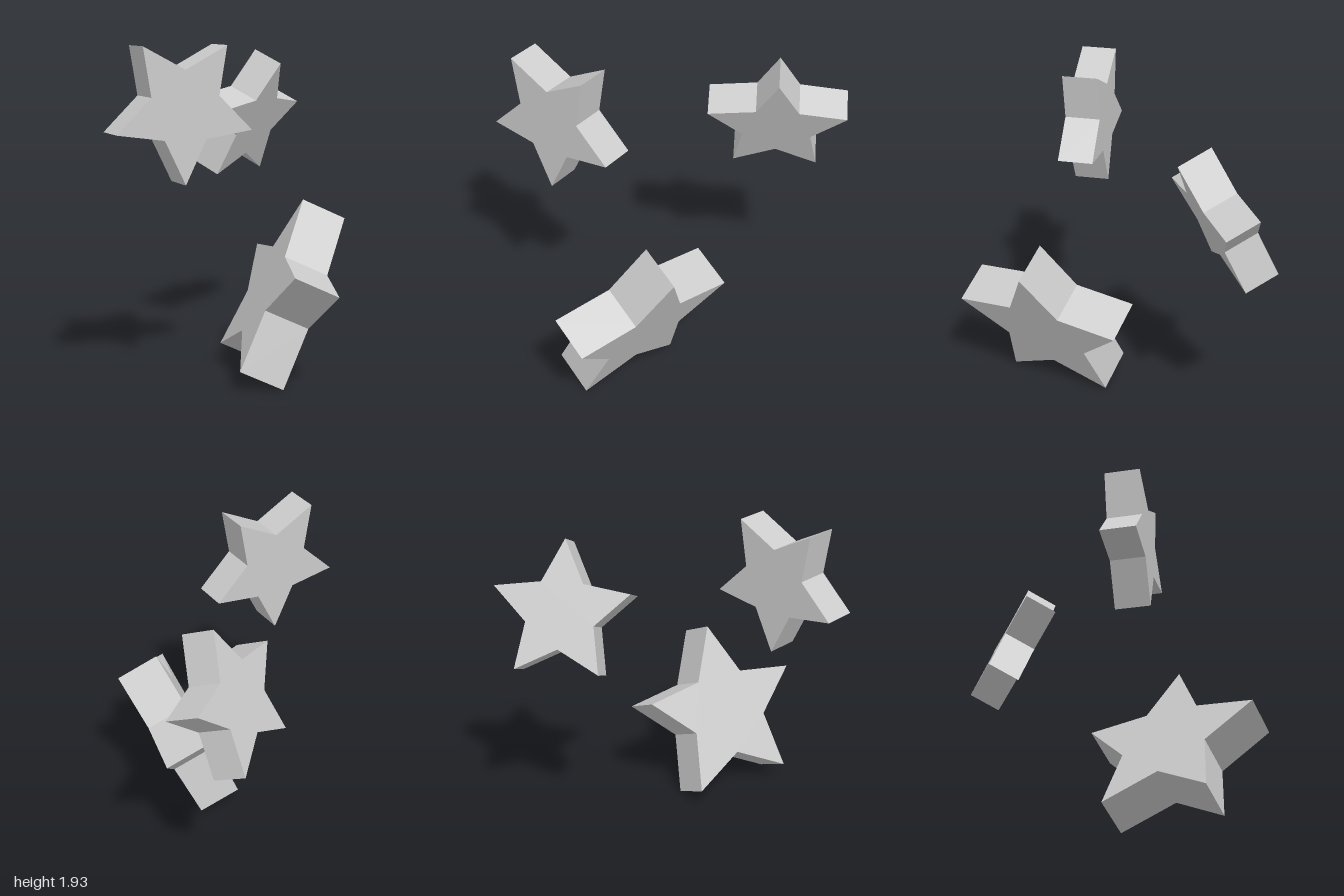
import * as THREE from 'three';

// Five-pointed star prism, one tip up, centred on its own origin
function makeStar(name, radius, depth, position, [pitch, yaw, roll]) {
  const shape = new THREE.Shape();
  for (let i = 0; i < 10; i++) {
    const r = i % 2 ? radius / 2 : radius;
    const a = Math.PI / 2 + i * Math.PI / 5;
    const x = r * Math.cos(a), y = r * Math.sin(a);
    if (i === 0) shape.moveTo(x, y);
    else shape.lineTo(x, y);
  }
  shape.closePath();
  const geometry = new THREE.ExtrudeGeometry(shape, { depth, bevelEnabled: false });
  geometry.translate(0, 0, -depth / 2);

  const star = new THREE.Mesh(
    geometry,
    new THREE.MeshStandardMaterial({ color: 0xcccccc, flatShading: true })
  );
  star.name = name;
  star.position.set(...position);
  const rad = THREE.MathUtils.degToRad;
  star.rotation.set(rad(pitch), rad(yaw), rad(roll), 'YXZ');
  return star;
}

export function createModel() {
  const group = new THREE.Group();
  group.name = 'stars';
  group.add(
    // Large star turned sideways and leaning
    makeStar('largeStar', 0.561, 0.275, [0.337, 0.472, 0.466], [25, 90, 0]),
    // Small star pointing down
    makeStar('upperRightStar', 0.43, 0.212, [-0.283, 1.585, 0.51], [0, 15, 180]),
    // Small star at the back, tipped forward
    makeStar('upperLeftStar', 0.43, 0.212, [0.315, 1.43, -0.646], [24, 46, 0])
  );
  return group;
}
